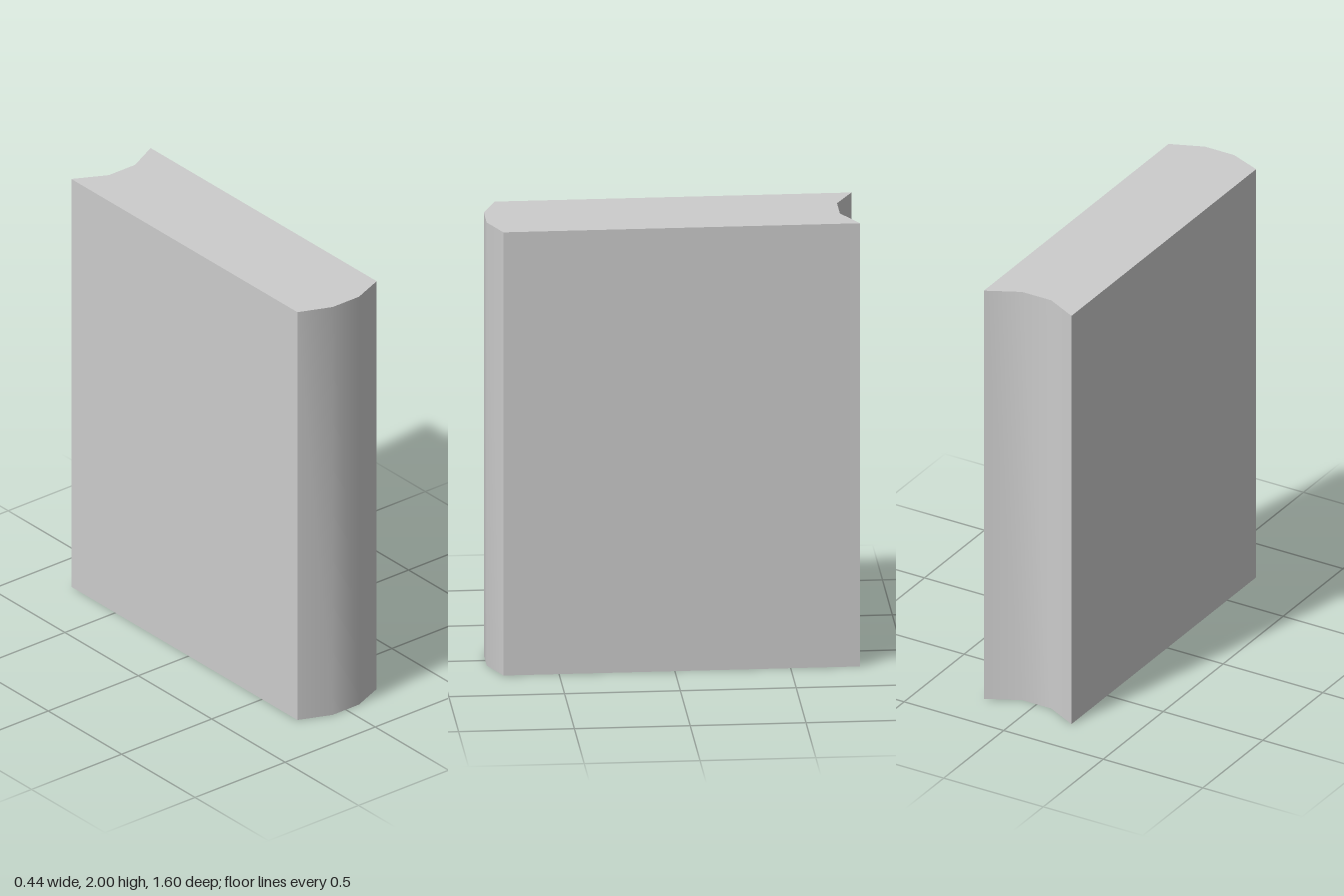
import * as THREE from 'three';
import { toCreasedNormals } from 'three/addons/utils/BufferGeometryUtils.js';

export function createModel() {
  const group = new THREE.Group();
  group.name = 'book';

  // Half outline seen from above as [x, z]: rounded spine in front, hollow page edge behind
  const half = [[0.073, 0.8], [0.22, 0.74], [0.22, -0.8], [0.073, -0.725]];
  const mirrored = half.map(([x, z]) => [-x, z]).reverse();
  const outline = [...half, ...mirrored].map(([x, z]) => new THREE.Vector2(x, -z));

  // Extrude the outline upwards; spine and page edge shade smoothly, corners stay sharp
  const extruded = new THREE.ExtrudeGeometry(new THREE.Shape(outline), { depth: 2, bevelEnabled: false });
  extruded.rotateX(-Math.PI / 2);
  const geometry = toCreasedNormals(extruded, Math.PI / 4);

  const body = new THREE.Mesh(geometry, new THREE.MeshStandardMaterial({ color: 0xcccccc }));
  body.name = 'bookBody';
  group.add(body);
  return group;
}
